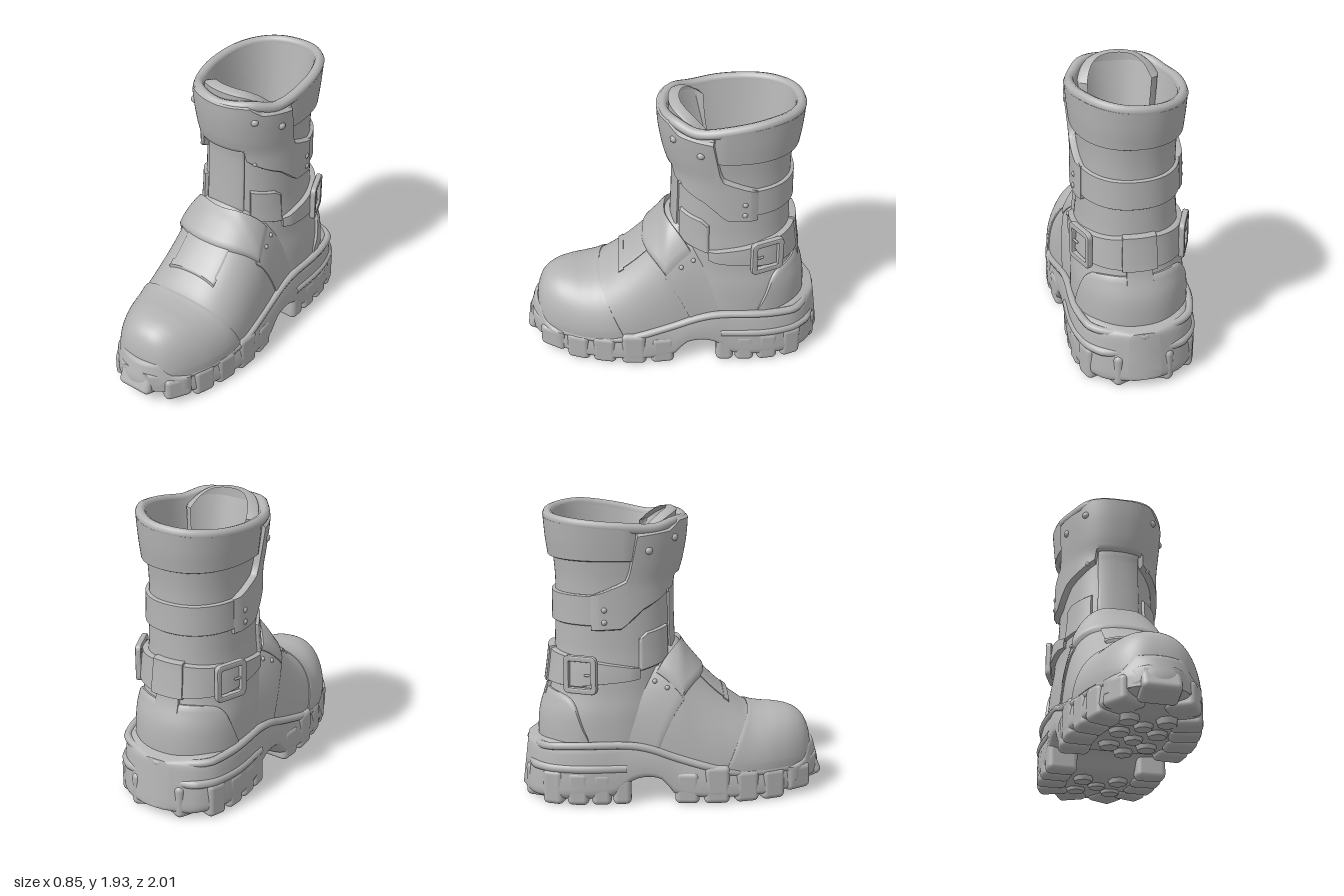
import * as THREE from 'three';
import { toCreasedNormals } from 'three/addons/utils/BufferGeometryUtils.js';
import { RoundedBoxGeometry } from 'three/addons/geometries/RoundedBoxGeometry.js';

const rad = Math.PI / 180;
const pw = (v, e) => Math.sign(v) * Math.abs(v) ** e;

// Piecewise curves through [x, y] pairs (x ascending): straight or smooth
function find(p, x) {
  let i = 0;
  while (i < p.length - 2 && x > p[i + 1][0]) i++;
  return [i, Math.min(1, Math.max(0, (x - p[i][0]) / (p[i + 1][0] - p[i][0])))];
}
const line = (...p) => x => { const [i, t] = find(p, x); return p[i][1] + (p[i + 1][1] - p[i][1]) * t; };
const smooth = (...p) => x => {
  const [i, t] = find(p, x), h = p[i + 1][0] - p[i][0];
  const m = k => { const a = p[Math.max(0, k - 1)], b = p[Math.min(p.length - 1, k + 1)]; return (b[1] - a[1]) / (b[0] - a[0]) * h; };
  const t2 = t * t, t3 = t2 * t;
  return (2 * t3 - 3 * t2 + 1) * p[i][1] + (t3 - 2 * t2 + t) * m(i) + (3 * t2 - 2 * t3) * p[i + 1][1] + (t3 - t2) * m(i + 1);
};

// Shaft surface: angle from the front in degrees, height, offset
const front = smooth([.3, 0], [.9, 0], [1.45, -.01], [1.6, .025], [1.75, .05], [1.9, .06]);
const back = smooth([.3, -.88], [.45, -.885], [.6, -.87], [.75, -.82], [.9, -.795], [1.05, -.78], [1.45, -.77], [1.6, -.78], [1.75, -.8], [1.95, -.815]);
const girth = smooth([.3, .37], [.6, .36], [.75, .34], [.9, .33], [1.05, .315], [1.45, .305], [1.6, .315], [1.75, .33], [1.95, .345]);
const S = (a, y, d = 0) => {
  const f = front(y), b = back(y);
  return new THREE.Vector3((girth(y) + d) * pw(Math.sin(a * rad), .9), y, (f + b) / 2 + ((f - b) / 2 + d) * pw(Math.cos(a * rad), .9));
};
const rim = smooth([0, 1.86], [35, 1.875], [62, 1.845], [100, 1.9], [125, 1.92], [180, 1.895], [235, 1.87], [270, 1.85], [300, 1.835], [325, 1.865], [360, 1.86]);

// Foot surface: arch angle in degrees, z, offset
const footW = smooth([-.6, .3], [-.45, .335], [-.2, .355], [0, .375], [.15, .385], [.3, .39], [.45, .38], [.6, .35], [.7, .312], [.8, .258], [.88, .19], [.92, .125], [.94, .05]);
const footH = smooth([-.6, .75], [-.45, .92], [-.3, 1], [-.1, 1.07], [.03, 1.04], [.1, .95], [.2, .83], [.3, .73], [.4, .65], [.5, .585], [.6, .565], [.7, .56], [.8, .54], [.88, .485], [.92, .4], [.94, .3]);
const F = (a, z, d = 0) => new THREE.Vector3((footW(z) + d) * pw(Math.cos(a * rad), .85), .2 + (footH(z) + d - .2) * pw(Math.sin(a * rad), .85), z);

// Sole outline, top edge and underside along z
const soleW = smooth([-.99, .1], [-.95, .2], [-.9, .28], [-.8, .355], [-.6, .4], [-.3, .395], [0, .4], [.25, .415], [.5, .38], [.7, .32], [.85, .235], [.93, .165], [.97, .11]);
const soleT = smooth([-.99, .4], [-.8, .44], [-.4, .45], [-.2, .43], [0, .36], [.2, .3], [.4, .25], [.7, .245], [.97, .26]);
const soleB = smooth([-.99, .07], [-.9, .04], [-.4, .045], [-.3, .14], [-.2, .18], [-.08, .16], [0, .06], [.2, .04], [.7, .045], [.9, .1], [.97, .15]);

export function createModel() {
  const boot = new THREE.Group();
  boot.name = 'boot';
  const grey = new THREE.MeshStandardMaterial({ color: 0xb4b4b4, side: THREE.DoubleSide });
  grey.name = 'grey';

  const add = (name, geo) => {
    const m = new THREE.Mesh(geo, grey);
    m.name = name;
    boot.add(m);
    return m;
  };

  // Grid surface from f(i, j)
  function grid(name, f, nu, nv, crease = 0) {
    const pos = [], idx = [];
    for (let i = 0; i <= nu; i++) for (let j = 0; j <= nv; j++) {
      pos.push(...f(i, j).toArray());
      if (i < nu && j < nv) {
        const a = i * (nv + 1) + j, b = a + nv + 1;
        idx.push(a, b, a + 1, b, b + 1, a + 1);
      }
    }
    let g = new THREE.BufferGeometry();
    g.setAttribute('position', new THREE.Float32BufferAttribute(pos, 3));
    g.setIndex(idx);
    g.computeVertexNormals();
    if (crease) g = toCreasedNormals(g, crease);
    return add(name, g);
  }

  // Raised panel with softened edges lying on surface P(u, v, offset)
  const edge = (i, n, t) => i === 0 ? [0, -.02] : i === n ? [1, -.02] : i === 1 ? [0, t * .6] : i === n - 1 ? [1, t * .6]
    : [.03 + .94 * (i - 2) / (n - 4), t];
  function panel(name, P, u0, u1, lo, hi, t, nu = 40, nv = 16, sides = [1]) {
    for (const s of sides) grid(name, (i, j) => {
      const [a, da] = edge(i, nu, t), [b, db] = edge(j, nv, t);
      const u = u0 + (u1 - u0) * a, p = P(u, lo(u) + (hi(u) - lo(u)) * b, Math.min(da, db));
      p.x *= s;
      return p;
    }, nu, nv, .8);
  }
  const both = [1, -1], k = c => () => c;
  const tube = (name, pts, r, closed) => add(name, new THREE.TubeGeometry(new THREE.CatmullRomCurve3(pts, closed), 96, r, 8, closed));

  // Foot, shaft and lining
  grid('foot', (i, j) => F(j * 4.5, .94 - 1.54 * (i / 70) ** 1.7), 70, 40);
  grid('shaft', (i, j) => S(i * 5, .3 + (rim(i * 5) - .3) * j / 50), 72, 50);
  tube('collarRim', Array.from({ length: 48 }, (_, i) => S(i * 7.5, rim(i * 7.5) - .01, .002)), .034, true);
  grid('lining', (i, j) => {
    const a = i * 5, t = Math.min(1, j / 14);
    const floor = new THREE.Vector3(.18 * Math.sin(a * rad), 1.1, -.41 + .24 * Math.cos(a * rad));
    return j === 15 ? new THREE.Vector3(0, 1.1, -.41) : S(a, rim(a), -.03).lerp(floor, t);
  }, 72, 15, .8);
  panel('tongue', (a, y, d) => S(a, y, d - .085), -62, 62, k(1.5), smooth([-62, 1.8], [-45, 1.87], [-22, 1.915], [22, 1.915], [45, 1.87], [62, 1.8]), .05);

  // Padded collar and rear band
  panel('collar', S, 76, 284, k(1.62), a => rim(a) - .01, .033, 60);
  panel('rearBand', S, 85, 275, k(1.2), k(1.4), .022, 60);

  // Front shield with side wings
  panel('frontShield', S, -109, 109,
    a => line([0, 1.5], [25, 1.5], [27, 1.42], [45, 1.36], [65, 1.3], [85, 1.18], [109, 1.17])(Math.abs(a)),
    a => line([0, 1.87], [32, 1.88], [45, 1.82], [76, 1.8], [80, 1.5], [95, 1.44], [109, 1.4])(Math.abs(a)), .042, 110, 18);

  // Centre strip and lacing tabs
  panel('centreStrip', S, -24, 24, k(1), k(1.52), .018);
  panel('lowerStrip', F, 68, 112, k(.15), k(.355), .014);
  panel('lowerStripEnd', F, 66, 114, k(.33), k(.365), .02);
  panel('lacingTab', S, 31, 68, line([31, .95], [68, .9]), line([31, 1.18], [60, 1.15], [68, 1.11]), .02, 24, 12, both);

  // Instep strap with slanted ends
  panel('instepStrap', (a, v, d) => {
    const c = Math.cos(a * Math.PI / 2);
    return F(90 + a * (43 + 12 * v), -.12 + .17 * c + v * (.17 - .015 * c), d);
  }, -1, 1, k(0), k(1), .032, 50, 14);

  // Toe cap, side quarters and heel counter
  panel('toeCap', F, 2, 178, a => .32 + .18 * Math.sin(a * rad) ** .8, k(.937), .012, 60, 40);
  panel('sideQuarter', F, 4, 52, line([4, -.45], [25, -.45], [52, -.28]), line([4, -.14], [36, .07], [52, -.02]), .014, 30, 16, both);
  panel('heelCounter', S, 104, 256, k(.38), a => smooth([0, .745], [45, .73], [62, .66], [76, .45])(Math.abs(a - 180)), .018, 50);

  // Ankle strap, rear loop and buckles
  const strapLo = a => line([0, .79], [60, .8], [112, .85])(Math.abs(a - 180));
  const strapHi = a => line([0, 1.02], [60, .99], [112, .92])(Math.abs(a - 180));
  panel('ankleStrap', S, 68, 292, strapLo, strapHi, .035, 60);
  panel('rearLoop', S, 164, 196, k(.785), k(1.025), .044, 16, 12);
  panel('rearPullTab', S, 168, 192, k(.69), k(.8), .022, 16, 10);
  const rect = (Type, w, h, r) => {
    const s = new Type();
    s.moveTo(-w + r, -h);
    [[w, -h, w, -h + r], [w, h, w - r, h], [-w, h, -w, h - r], [-w, -h, -w + r, -h]].forEach(([cx, cy, x, y], i) => {
      s.lineTo(i === 0 ? w - r : i === 2 ? -w + r : cx, i === 1 ? h - r : i === 3 ? -h + r : cy);
      s.quadraticCurveTo(cx, cy, x, y);
    });
    return s;
  };
  const frame = rect(THREE.Shape, .105, .117, .03);
  frame.holes.push(rect(THREE.Path, .085, .097, .015));
  for (const s of both) {
    const buckle = new THREE.Group();
    buckle.name = 'buckle';
    const ring = add('buckleFrame', new THREE.ExtrudeGeometry(frame, { depth: .02, bevelSize: .01, bevelThickness: .01, bevelSegments: 2 }));
    const pin = add('bucklePin', new THREE.CapsuleGeometry(.008, .05, 4, 8));
    pin.rotation.z = Math.PI / 2;
    pin.position.set(s * -.06, 0, .015);
    buckle.add(ring, pin);
    const p = S(117, .885, .028), t = S(121, .885).sub(S(113, .885));
    buckle.position.set(p.x * s, p.y, p.z);
    buckle.rotation.y = s * Math.atan2(-t.z, t.x);
    boot.add(buckle);
  }

  // Rivets
  const rivet = (P, u, v, d, r) => both.forEach(s => {
    const m = add('rivet', new THREE.SphereGeometry(r, 14, 10));
    const p = P(u, v, d);
    m.position.set(p.x * s, p.y, p.z);
  });
  [[38, 1.76, .026], [65, 1.69, .026], [97, 1.31, .02], [97, 1.23, .02], [36, 1.41, .016]].forEach(([a, y, r]) => rivet(S, a, y, .034, r));
  rivet(F, 38, -.05, .012, .016);
  rivet(F, 42, -.13, .012, .016);

  // Midsole with raised arch
  grid('midsole', (i, j) => {
    const z = -.01 + .98 * Math.cos(Math.PI * i / 80), a = j / 40 * 2 * Math.PI;
    const w = i % 80 ? soleW(z) : 0, t = soleT(z), b = soleB(z), sn = pw(Math.sin(a), .3);
    return new THREE.Vector3(w * pw(Math.cos(a), .3) * (1 - .04 * sn), (t + b) / 2 + (t - b) / 2 * sn, z < 0 ? z * (1 - .02 * sn) : z);
  }, 80, 40, .9);
  const outline = (zMax, y, inset) => Array.from({ length: 41 }, (_, i) => {
    const t = (i - 20) / 20, z = -.955 + (zMax + .955) * Math.abs(t) ** 1.6;
    return new THREE.Vector3(Math.sign(t) * (soleW(z) - inset) * Math.min(1, Math.abs(t) * 6), y(z), z);
  });
  tube('midsoleLip', outline(.88, z => soleT(z) - .035, .025), .026, false);
  tube('heelLedge', outline(-.32, k(.26), .016), .03, false);

  // Toe bumper
  panel('toeBumper', (x, y, d) => new THREE.Vector3(x, y, .972 - 2.2 * x * x - Math.max(0, y - .2) * .28 + d), -.3, .3, k(.12),
    x => line([0, .335], [.14, .335], [.22, .24], [.31, .21])(Math.abs(x)), .02, 40, 12);

  // Tread lugs around the edge
  const block = (name, w, h, l, x, y, z, ry = 0, rx = 0) => {
    const m = add(name, new RoundedBoxGeometry(w, h, l, 3, .035));
    m.position.set(x, y, z);
    m.rotation.set(rx, ry, 0);
  };
  const low = z => z > .7 ? .02 + (z - .7) * .3 : .01;
  const lugs = [[.79, .19, .22], [.63, .16, .22], [.46, .16, .23], [.27, .17, .27], [.085, .16, .23], [-.35, .12, .2], [-.485, .13, .23], [-.63, .14, .24], [-.775, .14, .25]];
  for (const s of both) {
    for (const [z, l, top] of lugs) {
      const slope = (soleW(z + .05) - soleW(z - .05)) / .1;
      block('edgeLug', .2, top - low(z), l, s * (soleW(z) - .094), (top + low(z)) / 2, z, s * Math.atan(slope));
    }
    block('heelBackLug', .2, .23, .18, s * .125, .13, -.87, s * .45);
    for (const z of [.66, .45, .2, -.5, -.72]) {
      const pad = add('innerLug', new THREE.CylinderGeometry(.08, .06, .06, 8));
      pad.position.set(s * .12, .04, z);
    }
  }
  block('toeLug', .25, .16, .17, 0, .155, .905, 0, -.4);
  for (const z of [.56, .33, .08, -.61]) {
    const pad = add('centreLug', new THREE.CylinderGeometry(.075, .055, .06, 8));
    pad.position.set(0, .04, z);
  }
  return boot;
}
